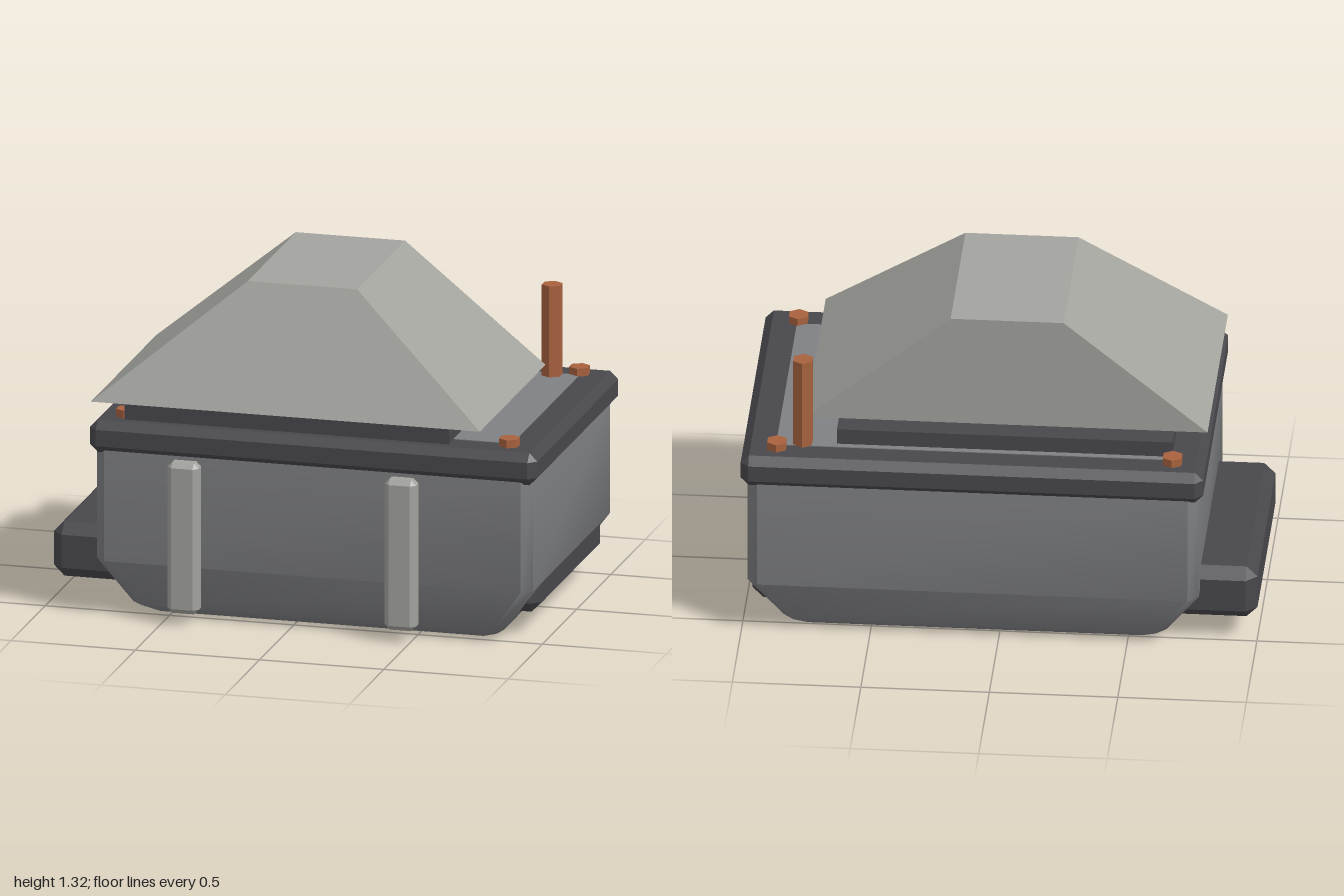
import * as THREE from 'three';
import { toCreasedNormals } from 'three/addons/utils/BufferGeometryUtils.js';
import { ConvexGeometry } from 'three/addons/geometries/ConvexGeometry.js';

const mat = (name, color) => Object.assign(new THREE.MeshStandardMaterial({ color }), { name });

// Box given by its limits, with all edges bevelled by c
function bevelBox(x0, x1, y0, y1, z0, z1, c) {
  const centre = new THREE.Vector3((x0 + x1) / 2, (y0 + y1) / 2, (z0 + z1) / 2);
  const half = [(x1 - x0) / 2, (y1 - y0) / 2, (z1 - z0) / 2];
  const points = [];
  for (const sx of [-1, 1]) for (const sy of [-1, 1]) for (const sz of [-1, 1]) {
    for (let axis = 0; axis < 3; axis++) {
      const h = half.map((v, i) => (i === axis ? v : v - c));
      points.push(new THREE.Vector3(sx * h[0], sy * h[1], sz * h[2]).add(centre));
    }
  }
  return new ConvexGeometry(points);
}

// Plain box given by its limits
function box(x0, x1, y0, y1, z0, z1) {
  return new THREE.BoxGeometry(x1 - x0, y1 - y0, z1 - z0)
    .translate((x0 + x1) / 2, (y0 + y1) / 2, (z0 + z1) / 2);
}

// Loft through cut-cornered rectangles [y, x0, x1, z0, z1, cut], capped at both ends
function loft(sections) {
  const positions = [], index = [];
  for (const [y, x0, x1, z0, z1, c] of sections) {
    const ring = [[x0 + c, z1], [x1 - c, z1], [x1, z1 - c], [x1, z0 + c],
      [x1 - c, z0], [x0 + c, z0], [x0, z0 + c], [x0, z1 - c]];
    for (const [x, z] of ring) positions.push(x, y, z);
  }
  const last = (sections.length - 1) * 8;
  for (let s = 0; s < last; s += 8) {
    for (let i = 0; i < 8; i++) {
      const a = s + i, b = s + (i + 1) % 8;
      index.push(a, b, b + 8, a, b + 8, a + 8);
    }
  }
  for (let i = 1; i < 7; i++) {
    index.push(0, i + 1, i, last, last + i, last + i + 1);
  }
  const geo = new THREE.BufferGeometry();
  geo.setAttribute('position', new THREE.Float32BufferAttribute(positions, 3));
  geo.setIndex(index);
  return toCreasedNormals(geo, 0.75);
}

export function createModel() {
  const model = new THREE.Group();
  model.name = 'model';
  const steel = mat('steel grey', 0x808184);
  const dark = mat('dark grey', 0x48474c);
  const pale = mat('pale grey', 0xa3a39e);
  const copper = mat('copper', 0xa8623f);

  const add = (name, geometry, material) => {
    const mesh = new THREE.Mesh(geometry, material);
    mesh.name = name;
    model.add(mesh);
    return mesh;
  };

  // Tub tapering in at the bottom
  add('body', loft([
    [0, -0.59, 0.79, -0.49, 0.45, 0.04],
    [0.04, -0.65, 0.84, -0.545, 0.52, 0.04],
    [0.225, -0.78, 0.975, -0.615, 0.585, 0.04],
    [0.68, -0.78, 0.975, -0.615, 0.585, 0.04],
  ]), steel);

  // Lid slab with its inlaid panel and the raised plinth
  add('rim', bevelBox(-0.8, 1, 0.66, 0.79, -0.64, 0.605, 0.032), dark);
  add('topPanel', box(-0.67, 0.87, 0.785, 0.793, -0.515, 0.47), steel);
  add('plinth', box(-0.67, 0.635, 0.78, 0.856, -0.49, 0.54), dark);

  // Hood: sloped on three sides, upright at the back
  const corners = [];
  for (const [y, x0, x1, front] of [[0.857, -0.8, 0.765, 0.56], [1.315, -0.24, 0.2, 0.3]]) {
    for (const x of [x0, x1]) for (const z of [-0.4, front]) corners.push(new THREE.Vector3(x, y, z));
  }
  add('hood', new ConvexGeometry(corners), pale);

  // Beam running through the lower body
  add('crossBeam', bevelBox(-1, 0.965, 0.09, 0.31, -0.51, 0.418, 0.043), dark);

  // Upright strips on the front
  for (const x of [-0.412, 0.462]) {
    add('frontStrip', bevelBox(x - 0.063, x + 0.063, 0.048, 0.657, 0.565, 0.64, 0.02), pale);
  }

  // Hexagonal bolts and the tall post
  const hexRod = (name, x, z, top) => {
    const height = top - 0.78;
    add(name, new THREE.CylinderGeometry(0.042, 0.042, height, 6).toNonIndexed(), copper)
      .position.set(x, 0.78 + height / 2, z);
    const mesh = model.children[model.children.length - 1];
    mesh.geometry.computeVertexNormals();
  };
  for (const x of [-0.675, 0.865]) for (const z of [-0.535, 0.492]) hexRod('bolt', x, z, 0.822);
  hexRod('post', 0.767, -0.488, 1.16);

  return model;
}
